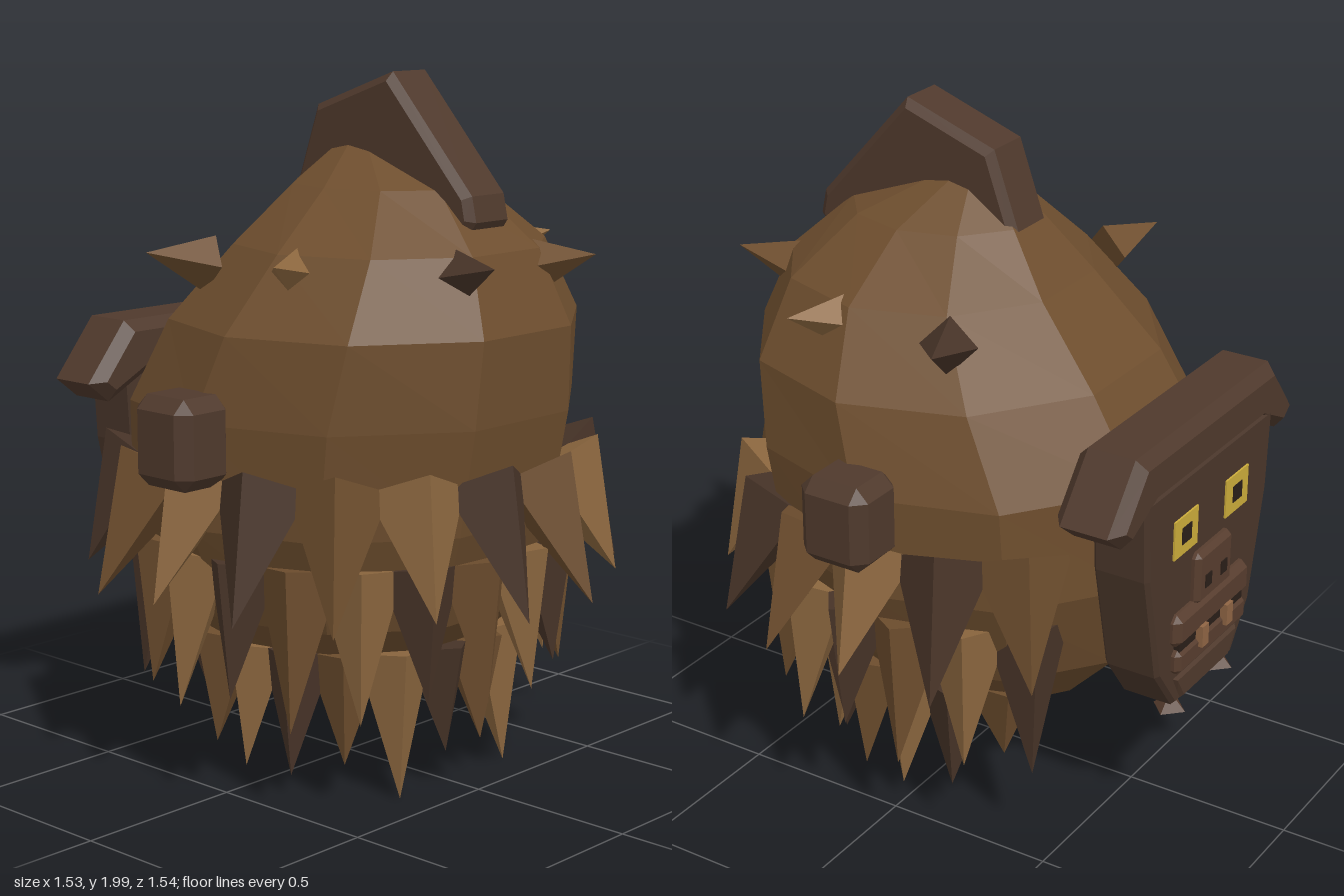
import * as THREE from 'three';
import { ConvexGeometry } from 'three/addons/geometries/ConvexGeometry.js';

const CX = 0.018; // symmetry axis of the head

const mat = (name, color) => {
  const m = new THREE.MeshStandardMaterial({ color, flatShading: true });
  m.name = name;
  return m;
};

// Prism with chamfered rims, from a front outline, between z0 and z1
function slab(points, z0, z1, bevel) {
  const shape = new THREE.Shape(points.map(([x, y]) => new THREE.Vector2(x, y)));
  const g = new THREE.ExtrudeGeometry(shape, {
    depth: z1 - z0 - 2 * bevel, bevelEnabled: true, bevelSegments: 1,
    bevelSize: bevel, bevelThickness: bevel, bevelOffset: -bevel,
  });
  return g.translate(0, 0, z0 + bevel);
}

// Box with every edge cut off by c
function chamferBox(w, h, d, c) {
  const pts = [];
  for (const sx of [-1, 1]) for (const sy of [-1, 1]) for (const sz of [-1, 1]) {
    const [x, y, z] = [w / 2, h / 2, d / 2];
    pts.push(new THREE.Vector3(sx * x, sy * (y - c), sz * (z - c)));
    pts.push(new THREE.Vector3(sx * (x - c), sy * y, sz * (z - c)));
    pts.push(new THREE.Vector3(sx * (x - c), sy * (y - c), sz * z));
  }
  return new ConvexGeometry(pts);
}

// Ten-sided skull: rings of [y, half width, front z, back z]
function headGeometry() {
  const rings = [
    [1.85, 0, 0.03, 0.03], [1.69, 0.25, 0.39, -0.14], [1.53, 0.45, 0.56, -0.27],
    [1.32, 0.595, 0.64, -0.46], [1.08, 0.64, 0.625, -0.61], [0.78, 0.62, 0.57, -0.61],
    [0.5, 0.5, 0.47, -0.52], [0.33, 0.36, 0.31, -0.36], [0.33, 0, 0, 0],
  ];
  const n = 10, pos = [], idx = [];
  rings.forEach(([y, hx, zf, zb]) => {
    for (let i = 0; i < n; i++) {
      const a = ((i + 0.5) / n) * Math.PI * 2;
      pos.push(Math.sin(a) * hx, y, (zf + zb) / 2 + (Math.cos(a) * (zf - zb)) / 1.9);
    }
  });
  // the first and last bands are fans, so they need one triangle per side
  for (let r = 0; r < rings.length - 1; r++) {
    for (let i = 0; i < n; i++) {
      const a = r * n + i, b = r * n + ((i + 1) % n);
      if (r > 0) idx.push(a, b + n, b);
      if (r < rings.length - 2) idx.push(a, a + n, b + n);
    }
  }
  const g = new THREE.BufferGeometry();
  g.setAttribute('position', new THREE.Float32BufferAttribute(pos, 3));
  g.setIndex(idx);
  const flat = g.toNonIndexed();
  flat.computeVertexNormals();
  return flat;
}

export function createModel() {
  const root = new THREE.Group();
  root.name = 'apeHead';
  const fur = mat('brown fur', 0x6e4e2e);
  const furLight = mat('light fur', 0x8c673f);
  const furDark = mat('dark fur', 0x483428);
  const hide = mat('crest hide', 0x4f392c);
  const skin = mat('dark skin', 0x4a362a);
  const snout = mat('snout skin', 0x573d2e);
  const yellow = mat('yellow eye', 0xccac3a);
  const dark = mat('pupil', 0x2a1e18);
  const tooth = mat('tooth', 0x8f6544);

  const add = (name, geo, material, x = 0, y = 0, z = 0, parent = root) => {
    const m = new THREE.Mesh(geo, material);
    m.name = name;
    m.position.set(x, y, z);
    parent.add(m);
    return m;
  };

  add('skull', headGeometry(), fur, CX);

  // Crest ridge along the top
  const crest = slab([[0.51, 1.61], [0.495, 1.68], [0.21, 2.0], [-0.07, 1.9],
    [-0.155, 1.66], [-0.1, 1.5], [0.4, 1.45]], -0.0875, 0.0875, 0.022);
  add('crest', crest.rotateY(-Math.PI / 2), hide, CX);

  for (const s of [-1, 1]) {
    add(s > 0 ? 'leftEar' : 'rightEar', chamferBox(0.19, 0.25, 0.215, 0.037), hide, CX + s * 0.67, 1.042, 0.002);
  }

  // Face on the back side
  const face = new THREE.Group();
  face.name = 'face';
  face.position.x = CX;
  root.add(face);
  const mirror = (half) => [...half, ...half.map(([x, y]) => [-x, y]).reverse()];
  add('facePlate', slab(mirror([[0.17, 0.435], [0.27, 0.57], [0.345, 0.9], [0.36, 1.14]]),
    -0.73, -0.56, 0.012), skin, 0, 0, 0, face);
  add('brow', slab(mirror([[0.3, 1.11], [0.44, 1.04], [0.515, 1.1], [0.375, 1.27]]),
    -0.73, -0.525, 0.032), hide, 0, 0, 0, face);

  add('nose', chamferBox(0.2, 0.16, 0.07, 0.015), snout, 0, 0.8, -0.72, face);
  add('upperLip', chamferBox(0.42, 0.1, 0.08, 0.02), snout, 0, 0.685, -0.718, face);
  add('mouth', new THREE.BoxGeometry(0.37, 0.04, 0.05), dark, 0, 0.625, -0.722, face);
  add('lowerLip', chamferBox(0.4, 0.075, 0.08, 0.015), snout, 0, 0.585, -0.716, face);
  add('chin', slab(mirror([[0.14, 0.44], [0.19, 0.53]]), -0.74, -0.66, 0.015), hide, 0, 0, 0, face);
  for (const s of [-1, 1]) {
    const eyeX = s * 0.147;
    add('eye', new THREE.BoxGeometry(0.13, 0.115, 0.009), yellow, eyeX, 0.968, -0.731, face);
    add('pupil', new THREE.BoxGeometry(0.052, 0.05, 0.008), dark, eyeX, 0.968, -0.734, face);
    add('nostril', new THREE.BoxGeometry(0.035, 0.04, 0.008), dark, s * 0.045, 0.785, -0.754, face);
    add('tooth', new THREE.BoxGeometry(0.035, 0.065, 0.03), tooth, s * 0.072, 0.625, -0.754, face);
    add('chinTuft', new THREE.ConeGeometry(0.05, 0.05, 4), snout, s * 0.14, 0.43, -0.7, face);
  }

  // Pointed four-sided lock: angle round the head, base radius and height,
  // outward tilt from straight down, length and thickness
  const lock = (name, material, degrees, r, y, tilt, len, w) => {
    const g = new THREE.ConeGeometry(w, len, 4).translate(0, len / 2, 0);
    g.rotateX(Math.PI - tilt).translate(0, y, r).rotateY(THREE.MathUtils.degToRad(degrees));
    add(name, g, material, CX);
  };

  // Three tiers of shaggy locks around the front and sides;
  // tips lists the tip heights from the front middle to the back
  const furs = [furDark, fur, furLight];
  const tiers = [
    { name: 'upperLock', arc: 132, r: 0.585, y: 0.92, tilt: 0.51, w: 0.138,
      tips: [0.57, 0.6, 0.57, 0.58, 0.6, 0.57, 0.6] },
    { name: 'middleLock', arc: 135, r: 0.53, y: 0.69, tilt: 0.18, w: 0.12,
      tips: [0.3, 0.33, 0.28, 0.25, 0.32, 0.26, 0.28, 0.25] },
    { name: 'lowerLock', arc: 130, r: 0.39, y: 0.42, tilt: 0.14, w: 0.11,
      tips: [0.12, 0.01, 0.11, 0.07, 0.07, 0.1, 0.2] },
  ];
  for (const t of tiers) {
    const tips = [...t.tips].reverse().concat(t.tips);
    tips.forEach((tipY, i) => {
      const degrees = -t.arc + (2 * t.arc * i) / (tips.length - 1);
      lock(t.name, furs[i % 3], degrees, t.r, t.y, t.tilt, (t.y - tipY) / Math.cos(t.tilt), t.w);
    });
  }

  // Sparse thorns around the crown
  [[17, 0.54], [66, 0.44], [110, 0.44], [-110, 0.44], [-66, 0.44], [-17, 0.54]].forEach(([deg, r], i) => {
    lock('crownThorn', furs[(i + 1) % 3], deg, r, 1.475, Math.PI / 2 + 0.22, 0.195, 0.08);
  });
  return root;
}
